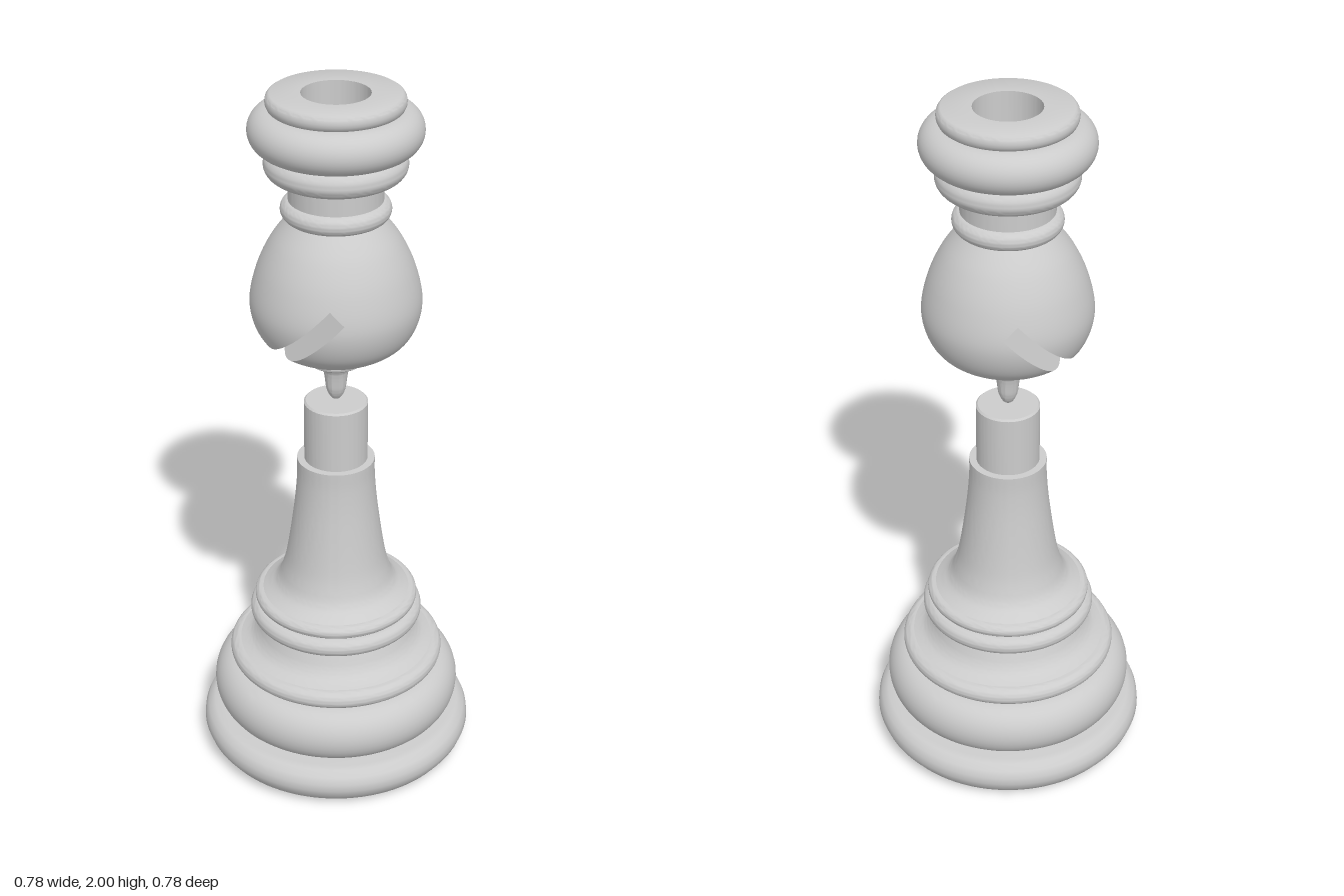
import * as THREE from 'three';
import { toCreasedNormals } from 'three/addons/utils/BufferGeometryUtils.js';

const SEGMENTS = 96;
const material = new THREE.MeshStandardMaterial({ color: 0xcccccc });
const toPoints = (list) => list.map(([r, y]) => new THREE.Vector2(r, y));
const spline = (list, n) => new THREE.SplineCurve(toPoints(list)).getPoints(n);

function addMesh(group, name, geometry, mat = material) {
  const mesh = new THREE.Mesh(geometry, mat);
  mesh.name = name;
  group.add(mesh);
}

// Turned part from a profile running upwards
function turned(group, name, points) {
  addMesh(group, name, toCreasedNormals(new THREE.LatheGeometry(points, SEGMENTS), 0.6));
}

// Ring with a rounded rim; depth is how far the rim bulges out
function bead(group, name, radius, y0, y1, depth = (y1 - y0) / 2) {
  const points = [new THREE.Vector2(0.095, y0)];
  for (let i = 0; i <= 16; i++) {
    const a = (i / 16 - 0.5) * Math.PI;
    points.push(new THREE.Vector2(radius - depth + depth * Math.cos(a), (y0 + y1) / 2 + (y1 - y0) / 2 * Math.sin(a)));
  }
  points.push(new THREE.Vector2(0.095, y1));
  turned(group, name, points);
}

// Slanted slot, bounded by y - x between T0 and T1, and x + y below S1
const T0 = 1.42, T1 = 1.495, S1 = 1.486, S0 = 1.1;
const across = (p) => p[1] - p[0];
const along = (p) => p[0] + p[1];

// Keeps the part of a convex polygon where f >= 0
function clip(poly, f) {
  const out = [];
  poly.forEach((a, i) => {
    const b = poly[(i + 1) % poly.length];
    const fa = f(a), fb = f(b);
    if (fa >= 0) out.push(a);
    if ((fa >= 0) !== (fb >= 0)) out.push(a.map((v, k) => v + (b[k] - v) * fa / (fa - fb)));
  });
  return out;
}

function slottedGeometry(profile) {
  const source = new THREE.LatheGeometry(profile, SEGMENTS).toNonIndexed();
  const { position, normal } = source.attributes;
  const pos = [], nor = [];
  const emit = (poly) => {
    for (let i = 1; i < poly.length - 1; i++) {
      for (const p of [poly[0], poly[i], poly[i + 1]]) {
        pos.push(p[0], p[1], p[2]);
        nor.push(p[3], p[4], p[5]);
      }
    }
  };
  for (let i = 0; i < position.count; i += 3) {
    const tri = [i, i + 1, i + 2].map((k) => [
      position.getX(k), position.getY(k), position.getZ(k),
      normal.getX(k), normal.getY(k), normal.getZ(k)]);
    emit(clip(tri, (p) => across(p) - T1));
    emit(clip(tri, (p) => T0 - across(p)));
    const middle = clip(clip(tri, (p) => T1 - across(p)), (p) => across(p) - T0);
    emit(clip(middle, (p) => along(p) - S1));
  }
  const geometry = new THREE.BufferGeometry();
  geometry.setAttribute('position', new THREE.Float32BufferAttribute(pos, 3));
  geometry.setAttribute('normal', new THREE.Float32BufferAttribute(nor, 3));
  return geometry;
}

// Flat slot wall spanning the body from back to front
function wallGeometry(profile, sA, tA, sB, tB, steps) {
  const radiusAt = (y) => {
    const i = profile.findIndex((p) => p.y >= y);
    if (i < 1) return 0;
    const a = profile[i - 1], b = profile[i];
    return a.x + (b.x - a.x) * (y - a.y) / (b.y - a.y);
  };
  const pos = [], index = [];
  for (let i = 0; i <= steps; i++) {
    const s = sA + (sB - sA) * i / steps, t = tA + (tB - tA) * i / steps;
    const x = (s - t) / 2, y = (s + t) / 2;
    const z = Math.sqrt(Math.max(0, radiusAt(y) ** 2 - x * x));
    pos.push(x, y, z, x, y, -z);
    const k = i * 2;
    if (i < steps && (z > 0 || i > 0)) index.push(k, k + 1, k + 2, k + 1, k + 3, k + 2);
  }
  const geometry = new THREE.BufferGeometry();
  geometry.setAttribute('position', new THREE.Float32BufferAttribute(pos, 3));
  geometry.setIndex(index);
  const flat = geometry.toNonIndexed();
  flat.computeVertexNormals();
  return flat;
}

function createBase() {
  const base = new THREE.Group();
  base.name = 'base';
  turned(base, 'foot', toPoints([[0, 0], [0.34, 0], [0.365, 0.02], [0.382, 0.043], [0.39, 0.065],
    [0.388, 0.085], [0.379, 0.105], [0.36, 0.118], [0.34, 0.12], [0, 0.12]]));
  bead(base, 'baseBulge', 0.355, 0.12, 0.285, 0.07);
  bead(base, 'shoulderRing', 0.307, 0.285, 0.338);
  turned(base, 'shoulderCove', spline([[0.285, 0.335], [0.25, 0.35], [0.23, 0.372], [0.217, 0.4], [0.205, 0.43]], 20));
  bead(base, 'lowerCollar', 0.246, 0.42, 0.474);
  bead(base, 'upperCollar', 0.232, 0.474, 0.512);
  turned(base, 'stem', [
    ...spline([[0.215, 0.508], [0.172, 0.54], [0.15, 0.59], [0.135, 0.66], [0.117, 0.79], [0.109, 0.88], [0.108, 0.94]], 40),
    new THREE.Vector2(0, 0.94)]);
  turned(base, 'peg', toPoints([[0.088, 0.93], [0.088, 1.115], [0.083, 1.12], [0, 1.12]]));
  return base;
}

function createHead() {
  const head = new THREE.Group();
  head.name = 'head';
  // Finial hanging below the upturned head
  turned(head, 'finial', [
    ...spline([[0, 1.122], [0.014, 1.13], [0.026, 1.155], [0.031, 1.19], [0.036, 1.215], [0.05, 1.232], [0.07, 1.238]], 32),
    ...toPoints([[0.08, 1.245], [0.082, 1.252], [0.078, 1.26], [0.05, 1.264], [0, 1.264]])]);

  // Slotted body
  const profile = spline([[0, 1.259], [0.075, 1.263], [0.15, 1.289], [0.206, 1.338], [0.23, 1.42],
    [0.212, 1.515], [0.173, 1.6], [0.12, 1.67]], 56);
  const wallMaterial = material.clone();
  wallMaterial.side = THREE.DoubleSide;
  addMesh(head, 'body', slottedGeometry(profile));
  addMesh(head, 'slotUpperWall', wallGeometry(profile, S0, T1, S1, T1, 100), wallMaterial);
  addMesh(head, 'slotLowerWall', wallGeometry(profile, S0, T0, S1, T0, 100), wallMaterial);
  addMesh(head, 'slotEnd', wallGeometry(profile, S1, T0, S1, T1, 8), wallMaterial);

  // Neck and collars
  bead(head, 'neckRing', 0.146, 1.66, 1.714);
  turned(head, 'neck', toPoints([[0.125, 1.7], [0.125, 1.79]]));
  bead(head, 'collarRing', 0.188, 1.777, 1.848);
  bead(head, 'collarBulge', 0.228, 1.848, 1.96);
  // Rim with the socket for the peg
  turned(head, 'socketRim', toPoints([[0.1, 1.955], [0.168, 1.957], [0.176, 1.963], [0.18, 1.972], [0.181, 1.98],
    [0.179, 1.99], [0.175, 1.996], [0.169, 2], [0.09, 2], [0.09, 1.8], [0, 1.8]]));
  return head;
}

export function createModel() {
  const model = new THREE.Group();
  model.name = 'twoPartChessPiece';
  model.add(createBase(), createHead());
  return model;
}
